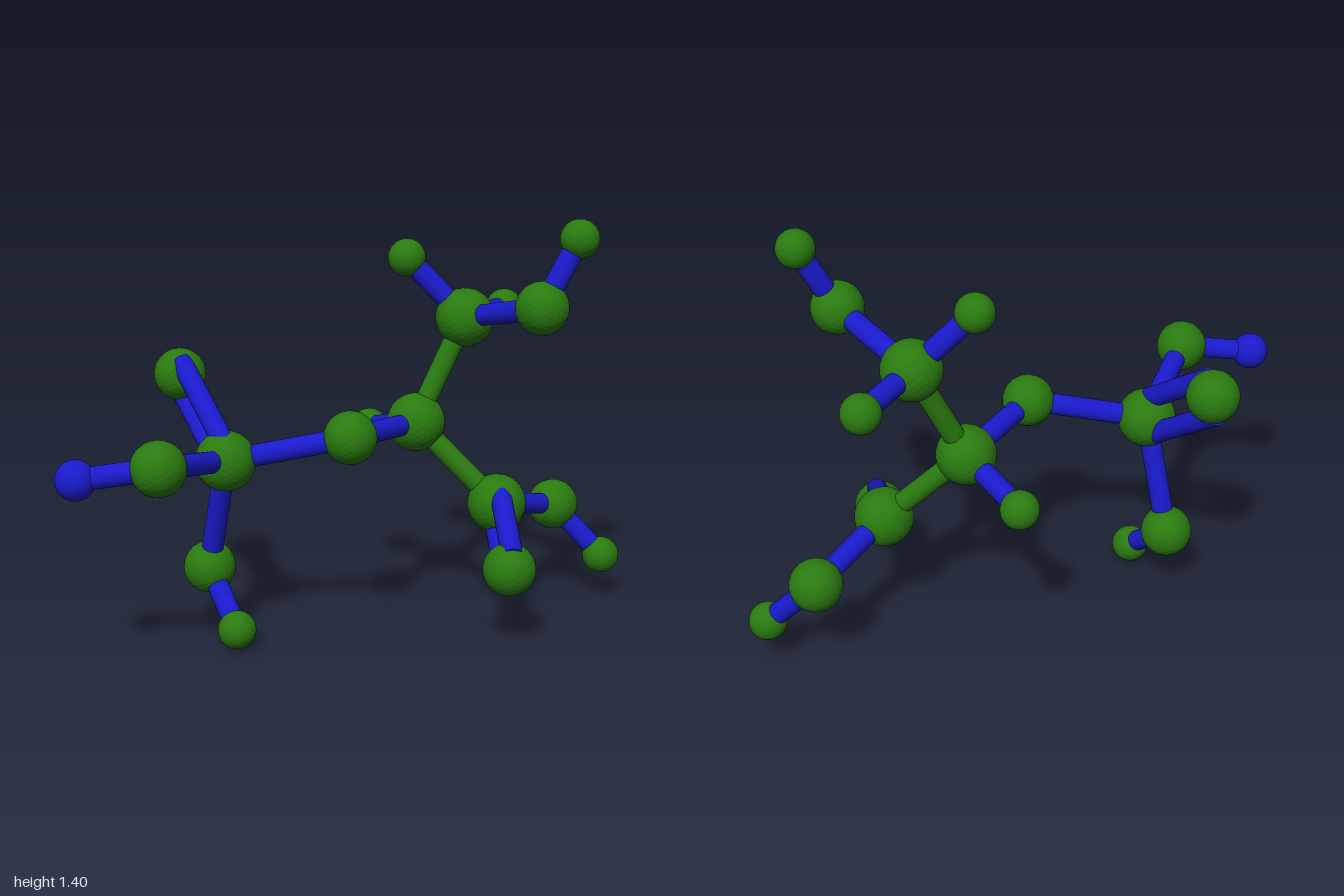
import * as THREE from 'three';

const green = new THREE.MeshStandardMaterial({ color: 0x2a7a10, flatShading: true });
const greenRod = new THREE.MeshStandardMaterial({ color: 0x2a7a10 });
const blue = new THREE.MeshStandardMaterial({ color: 0x1a1acc });

const LARGE = 0.1, MEDIUM = 0.088, SMALL = 0.064;
const ROD = 0.036, DOUBLE_OFFSET = 0.06;

// Atoms: centre x, y, z and radius
const atoms = {
  hubLeft: [-0.43, 0.63, 0.02, LARGE],
  outerOxygen: [-0.69, 0.71, 0.328, MEDIUM],
  outerTip: [-0.935, 0.675, 0.27, SMALL],
  upperOxygen: [-0.525, 0.856, -0.287, MEDIUM],
  lowerOxygen: [-0.47, 0.23, -0.097, MEDIUM],
  lowerTip: [-0.415, 0.068, 0.09, SMALL],
  bridgeOxygen: [-0.04, 0.71, 0.13, MEDIUM],
  centreCarbon: [0.25, 0.685, -0.1, LARGE],
  centreTip: [0.155, 0.61, -0.357, SMALL],
  topCarbon: [0.425, 1.035, -0.12, LARGE],
  topTipA: [0.24, 1.235, -0.193, SMALL],
  topTipB: [0.635, 1.025, -0.315, SMALL],
  topOxygen: [0.575, 1.12, 0.212, MEDIUM],
  topOxygenTip: [0.695, 1.34, 0.215, SMALL],
  acidCarbon: [0.5, 0.417, 0.033, LARGE],
  acidDoubleOxygen: [0.45, 0.278, 0.31, MEDIUM],
  acidOxygen: [0.78, 0.333, -0.158, MEDIUM],
  acidTip: [0.93, 0.16, -0.063, SMALL],
};

// Bonds: two atoms and the kind of link
const bonds = [
  ['hubLeft', 'outerOxygen'], ['outerOxygen', 'outerTip'],
  ['hubLeft', 'upperOxygen', 'double'],
  ['hubLeft', 'lowerOxygen'], ['lowerOxygen', 'lowerTip'],
  ['hubLeft', 'bridgeOxygen'], ['bridgeOxygen', 'centreCarbon'],
  ['centreCarbon', 'centreTip'],
  ['centreCarbon', 'topCarbon', 'green'],
  ['topCarbon', 'topTipA'], ['topCarbon', 'topTipB'],
  ['topCarbon', 'topOxygen'], ['topOxygen', 'topOxygenTip'],
  ['centreCarbon', 'acidCarbon', 'green'],
  ['acidCarbon', 'acidDoubleOxygen', 'double'],
  ['acidCarbon', 'acidOxygen'], ['acidOxygen', 'acidTip'],
];

// Cylinder running between two points
function rod(a, b, material, name) {
  const span = b.clone().sub(a);
  const mesh = new THREE.Mesh(new THREE.CylinderGeometry(ROD, ROD, span.length(), 24), material);
  mesh.position.copy(a).add(b).multiplyScalar(0.5);
  mesh.quaternion.setFromUnitVectors(new THREE.Vector3(0, 1, 0), span.normalize());
  mesh.name = name;
  return mesh;
}

export function createModel() {
  const model = new THREE.Group();
  model.name = 'molecule';

  // Faceted balls
  const centre = {};
  for (const [name, [x, y, z, r]] of Object.entries(atoms)) {
    const ball = new THREE.Mesh(new THREE.IcosahedronGeometry(r, 4), name === 'outerTip' ? blue : green);
    ball.position.set(x, y, z);
    ball.name = name;
    centre[name] = ball.position;
    model.add(ball);
  }

  // Rods; a double bond is a pair set apart across its length
  for (const [from, to, kind] of bonds) {
    const a = centre[from], b = centre[to];
    const name = `${from}To${to[0].toUpperCase()}${to.slice(1)}Bond`;
    const shifts = [new THREE.Vector3()];
    if (kind === 'double') {
      const side = b.clone().sub(a).cross(new THREE.Vector3(1, 0, 0)).setLength(DOUBLE_OFFSET);
      shifts[0] = side;
      shifts.push(side.clone().negate());
    }
    for (const s of shifts) {
      model.add(rod(a.clone().add(s), b.clone().add(s), kind === 'green' ? greenRod : blue, name));
    }
  }
  return model;
}
